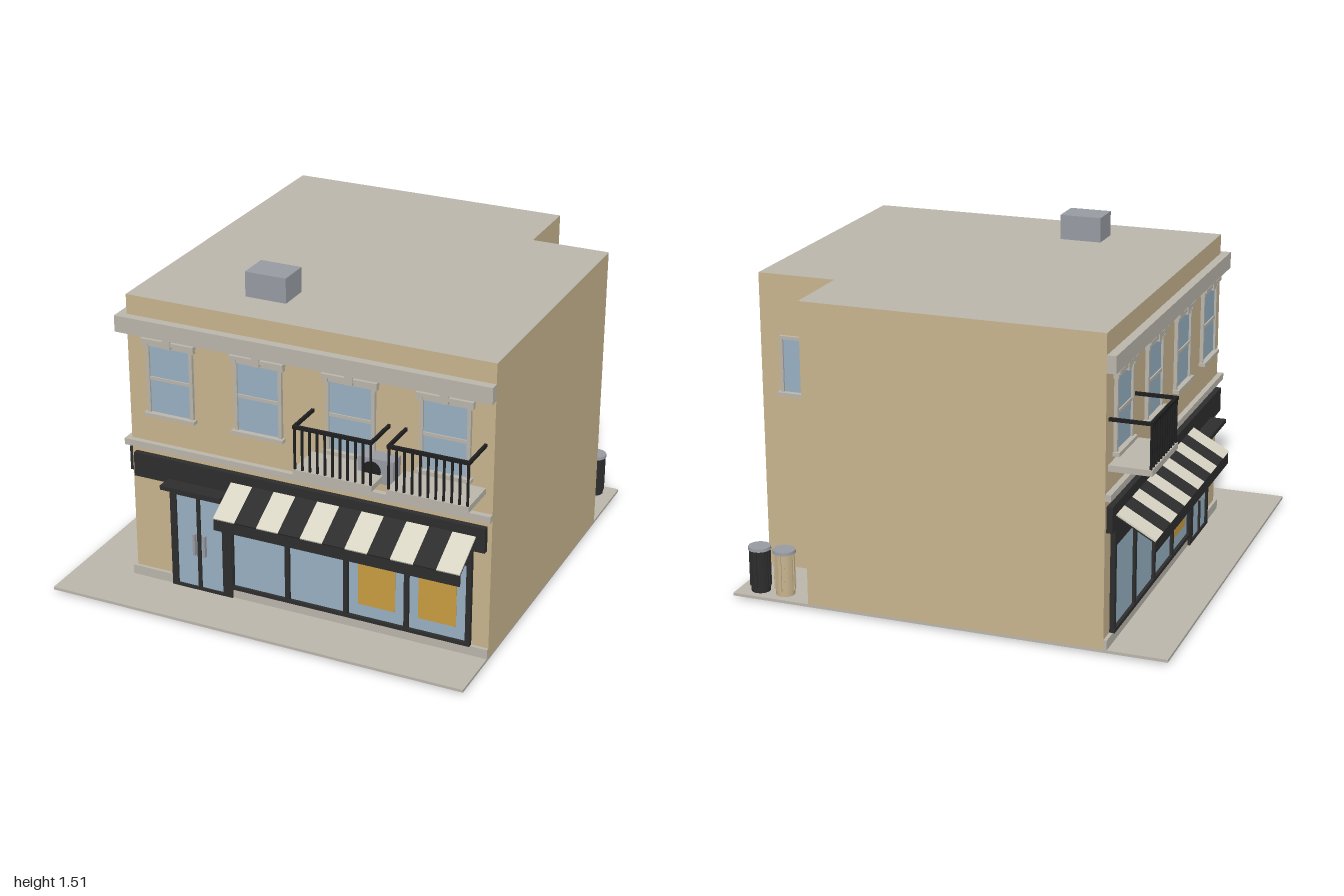
import * as THREE from 'three';

const mat = (name, color) => {
  const m = new THREE.MeshStandardMaterial({ color });
  m.name = name;
  return m;
};

export function createModel() {
  const wall = mat('tan wall', 0xc8b48e), stone = mat('pale stone', 0xbab6ab);
  const dark = mat('dark frame', 0x2d2d2e), iron = mat('black iron', 0x1f1f20);
  const glass = mat('blue glass', 0x98b0c3), cream = mat('cream canvas', 0xd8d4c4);
  const poster = mat('orange poster', 0xc99c40), metal = mat('grey metal', 0x979ba2);
  const root = new THREE.Group();
  root.name = 'cornerShop';

  const group = (parent, name) => {
    const g = new THREE.Group();
    g.name = name;
    parent.add(g);
    return g;
  };
  // Box given by its lower and upper limits on each axis
  const box = (parent, name, m, x0, x1, y0, y1, z0, z1) => {
    const mesh = new THREE.Mesh(new THREE.BoxGeometry(x1 - x0, y1 - y0, z1 - z0), m);
    mesh.position.set((x0 + x1) / 2, (y0 + y1) / 2, (z0 + z1) / 2);
    mesh.name = name;
    parent.add(mesh);
    return mesh;
  };

  // Pavement and L-shaped building with a flat roof
  box(root, 'pavement', stone, -1, 1, 0.012, 0.025, -1, 1);
  const plan = new THREE.Shape(
    [[-0.72, -0.72], [1, -0.72], [1, 0.64], [0.635, 0.64], [0.635, 1], [-0.72, 1]]
      .map(([x, y]) => new THREE.Vector2(x, y)));
  const bodyGeo = new THREE.ExtrudeGeometry(plan, { depth: 1.38, bevelEnabled: false });
  bodyGeo.rotateX(-Math.PI / 2);
  const body = new THREE.Mesh(bodyGeo, [stone, wall]);
  body.position.y = 0.02;
  body.name = 'building';
  root.add(body);

  // Rooftop unit
  box(root, 'roofUnit', metal, -0.24, -0.045, 1.4, 1.515, 0.375, 0.525);

  // Framed window on a wall at z = 0, facing +z
  const makeWindow = (parent, w, y0, y1, ornate) => {
    const g = group(parent, 'window'), h = w / 2;
    box(g, 'windowGlass', glass, -h, h, y0, y1, 0, 0.006);
    for (const s of [-1, 1]) {
      const c = s * (h + 0.008);
      box(g, 'windowJamb', stone, c - 0.008, c + 0.008, y0, y1 + 0.015, 0, 0.016);
    }
    box(g, 'windowLintel', stone, -h, h, y1, y1 + 0.015, 0, 0.016);
    box(g, 'windowSill', stone, -h - 0.026, h + 0.026, y0 - 0.017, y0, 0, 0.03);
    if (ornate) {
      box(g, 'windowRail', stone, -h, h, 1.022, 1.037, 0, 0.012);
      box(g, 'windowHood', stone, -h - 0.03, h + 0.03, 1.203, 1.22, 0, 0.03);
      for (const s of [-1, 1]) {
        const c = s * (h + 0.015);
        box(g, 'hoodBracket', stone, c - 0.012, c + 0.012, 1.183, 1.203, 0, 0.022);
      }
      box(g, 'keystone', stone, -0.018, 0.018, 1.19, 1.235, 0, 0.034);
    }
    return g;
  };

  const W = 0.72; // distance of street walls from the centre

  // Balcony with slab and railing
  const balcony = (f, b, x0, x1) => {
    const g = group(f, 'balcony');
    b(g, 'balconySlab', stone, x0, x1, 0.805, 0.832, W, 0.908);
    b(g, 'frontHandrail', iron, x0, x1, 1.02, 1.035, 0.892, 0.907);
    for (const c of [x0 + 0.006, x1 - 0.006])
      b(g, 'sideHandrail', iron, c - 0.006, c + 0.006, 1.02, 1.035, W, 0.9);
    const n = 10;
    for (let i = 0; i <= n; i++) {
      const c = x0 + 0.008 + (x1 - x0 - 0.016) * i / n;
      b(g, 'baluster', iron, c - 0.0045, c + 0.0045, 0.832, 1.02, 0.895, 0.904);
    }
  };

  // One street side; m = -1 mirrors it along the wall
  const facade = (name, m, balconies, posters) => {
    const f = group(root, name);
    const b = (p, n, mt, u0, u1, ...rest) =>
      m > 0 ? box(p, n, mt, u0, u1, ...rest) : box(p, n, mt, -u1, -u0, ...rest);

    // Horizontal bands
    b(f, 'plinth', stone, -0.735, 1, 0.025, 0.07, W, 0.735);
    b(f, 'belt', stone, -0.745, 1, 0.685, 0.715, W, 0.745);
    b(f, 'cornice', stone, -0.76, 1, 1.232, 1.308, W, 0.76);
    b(f, 'signBand', dark, -0.7, 0.98, 0.54, 0.655, W, 0.747);
    b(f, 'doorStep', stone, -0.56, -0.2, 0, 0.012, 0.73, 0.9);

    // Upper windows
    for (const u of [-0.51, -0.08, 0.355, 0.785])
      makeWindow(f, 0.196, 0.867, 1.183, true).position.set(m * u, 0, W);

    // Double door under a flat hood
    b(f, 'doorGlass', glass, -0.5, -0.26, 0.03, 0.5, W, 0.738);
    for (const [u0, u1] of [[-0.525, -0.494], [-0.392, -0.375], [-0.266, -0.22]])
      b(f, 'doorPost', dark, u0, u1, 0.027, 0.53, W, 0.746);
    b(f, 'doorHead', dark, -0.525, -0.22, 0.49, 0.53, W, 0.746);
    b(f, 'doorBottom', dark, -0.525, -0.22, 0.027, 0.042, W, 0.746);
    for (const u of [-0.405, -0.355])
      b(f, 'doorHandle', metal, u - 0.006, u + 0.006, 0.205, 0.31, 0.738, 0.756);
    b(f, 'doorHood', dark, -0.53, -0.23, 0.54, 0.56, W, 0.82);

    // Shop windows
    b(f, 'shopGlass', glass, -0.22, 0.91, 0.08, 0.5, W, 0.729);
    for (const u of [-0.225, 0.053, 0.337, 0.624, 0.91])
      b(f, 'shopMullion', dark, u - 0.011, u + 0.011, 0.07, 0.53, W, 0.742);
    b(f, 'shopSill', dark, -0.22, 0.92, 0.07, 0.087, W, 0.744);
    b(f, 'shopHead', dark, -0.22, 0.92, 0.46, 0.54, W, 0.742);
    for (const u of posters)
      b(f, 'poster', poster, u - 0.088, u + 0.088, 0.145, 0.355, 0.729, 0.732);

    // Striped awning with dark lining and valance
    const awning = group(f, 'awning'), w = 1.15 / 11;
    const tilt = Math.atan2(0.095, 0.17), len = Math.hypot(0.095, 0.17);
    const slope = group(awning, 'awningSlope');
    slope.position.set(0, 0.56, 0.833);
    slope.rotation.x = tilt;
    for (let i = 0; i < 11; i++) {
      const u = -0.21 + i * w;
      b(slope, 'awningStripe', i % 2 ? dark : cream, u, u + w, 0, 0.008, -len / 2, len / 2);
    }
    b(slope, 'awningLining', dark, -0.21, 0.94, -0.006, 0, -len / 2, len / 2);
    b(awning, 'awningValance', dark, -0.21, 0.94, 0.46, 0.515, 0.91, 0.918);

    for (const [u0, u1] of balconies) balcony(f, b, u0, u1);
    return f;
  };
  const front = facade('frontFacade', 1, [[0.17, 0.535], [0.6, 0.967]], [0.48, 0.765]);
  facade('sideFacade', -1, [[0.6, 0.967]], [-0.085]).rotation.y = -Math.PI / 2;

  // Wall-mounted cooling unit
  const cooler = group(front, 'coolingUnit');
  box(cooler, 'coolerCase', metal, 0.42, 0.583, 0.79, 0.9, W, 0.797);
  const fan = new THREE.Mesh(new THREE.CylinderGeometry(0.042, 0.042, 0.006, 16), iron);
  fan.rotation.x = Math.PI / 2;
  fan.position.set(0.485, 0.845, 0.798);
  fan.name = 'coolerFan';
  cooler.add(fan);
  for (const x of [0.436, 0.57])
    box(cooler, 'coolerBracket', iron, x - 0.007, x + 0.007, 0.778, 0.79, W, 0.805);

  // Windows in the rear recess
  makeWindow(root, 0.14, 0.867, 1.11, false).position.set(0.635, 0, -0.82);
  root.children.at(-1).rotation.y = Math.PI / 2;
  makeWindow(root, 0.14, 0.867, 1.11, false).position.set(0.818, 0, -0.64);
  root.children.at(-1).rotation.y = Math.PI;

  // Ribbed bins with lids
  for (const [x, m] of [[0.78, wall], [0.9, dark]]) {
    const bin = group(root, 'bin');
    bin.position.set(x, 0, -0.925);
    const add = (name, mt, r0, r1, y0, y1) => {
      const mesh = new THREE.Mesh(new THREE.CylinderGeometry(r1, r0, y1 - y0, 16), mt);
      mesh.position.y = (y0 + y1) / 2;
      mesh.name = name;
      bin.add(mesh);
    };
    add('binBody', m, 0.043, 0.044, 0.025, 0.222);
    add('binLid', metal, 0.052, 0.05, 0.222, 0.236);
    for (let i = 0; i < 12; i++) {
      const a = i * Math.PI / 6;
      const rib = box(bin, 'binRib', m, -0.005, 0.005, 0.05, 0.222, -0.004, 0.004);
      rib.position.x = Math.sin(a) * 0.044;
      rib.position.z = Math.cos(a) * 0.044;
      rib.rotation.y = a;
    }
  }
  return root;
}
